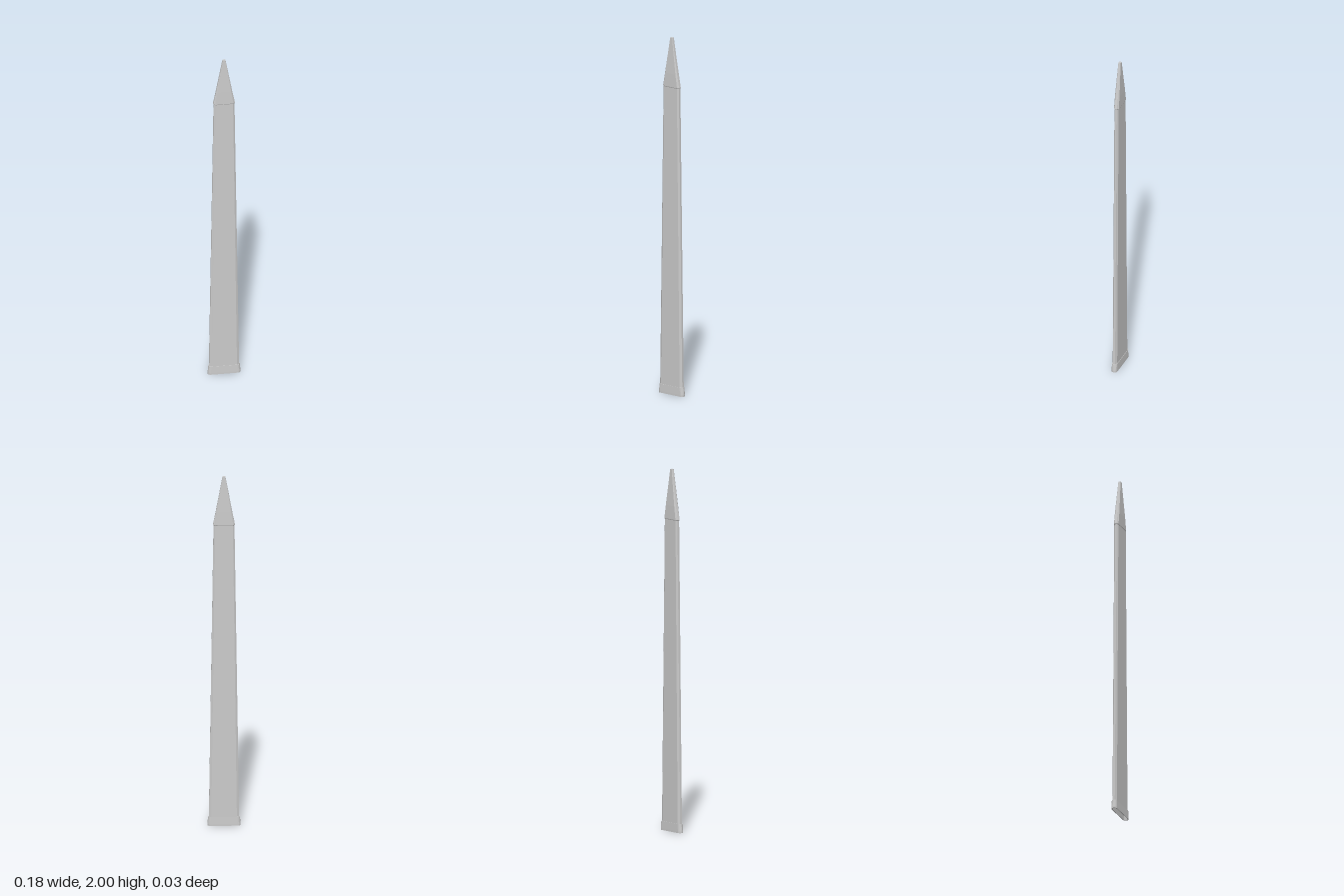
import * as THREE from 'three';

const material = new THREE.MeshStandardMaterial({ color: 0xcccccc, flatShading: true, side: THREE.DoubleSide });

// Flat bar section with bevelled sides: half width w, flat half width f, half depth d, edge half depth e
function bevelled(y, w, f, d, e) {
  return [[w, e], [f, d], [-f, d], [-w, e], [-w, -e], [-f, -d], [f, -d], [w, -e]]
    .map(([x, z]) => new THREE.Vector3(x, y, z));
}

// Flat bar section with rounded ends
function rounded(y, w, d, steps = 8) {
  const ring = [];
  for (const side of [1, -1]) {
    for (let i = 0; i <= steps; i++) {
      const a = -Math.PI / 2 + (Math.PI * i) / steps;
      ring.push(new THREE.Vector3(side * (w - d + d * Math.cos(a)), y, side * d * Math.sin(a)));
    }
  }
  return ring;
}

// Skin between successive rings, optionally closing the last one
function loft(name, rings, capEnd = false) {
  const n = rings[0].length;
  const pos = [];
  const tri = (...pts) => pts.forEach((p) => pos.push(p.x, p.y, p.z));
  for (let r = 0; r < rings.length - 1; r++) {
    for (let i = 0; i < n; i++) {
      const j = (i + 1) % n;
      const [a, b, c, d] = [rings[r][i], rings[r][j], rings[r + 1][j], rings[r + 1][i]];
      tri(a, c, b);
      tri(a, d, c);
    }
  }
  if (capEnd) {
    const top = rings[rings.length - 1];
    for (let i = 1; i < n - 1; i++) tri(top[0], top[i + 1], top[i]);
  }
  const geometry = new THREE.BufferGeometry();
  geometry.setAttribute('position', new THREE.Float32BufferAttribute(pos, 3));
  geometry.computeVertexNormals();
  const mesh = new THREE.Mesh(geometry, material);
  mesh.name = name;
  return mesh;
}

export function createModel() {
  const group = new THREE.Group();
  group.name = 'scabbard';

  // Long tapering sheath, open at the mouth
  group.add(loft('sheathBody', [
    bevelled(0.03, 0.083, 0.07, 0.0135, 0.006),
    bevelled(1.74, 0.057, 0.048, 0.0125, 0.006),
  ]));

  // Pointed end cap with a small overhanging lip
  group.add(loft('pointedTip', [
    bevelled(1.72, 0.056, 0.047, 0.012, 0.006),
    bevelled(1.725, 0.06, 0.05, 0.014, 0.007),
    bevelled(1.8, 0.045, 0.038, 0.0135, 0.007),
    bevelled(2, 0.008, 0.007, 0.007, 0.005),
  ], true));

  // Rounded mouth collar: inside wall, bottom rim, outside wall, upper ledge
  group.add(loft('mouthCollar', [
    rounded(0.05, 0.08, 0.0115),
    rounded(0, 0.085, 0.0125),
    rounded(0, 0.091, 0.0165),
    rounded(0.01, 0.091, 0.0165),
    rounded(0.05, 0.087, 0.0155),
    rounded(0.05, 0.08, 0.012),
  ]));

  return group;
}
